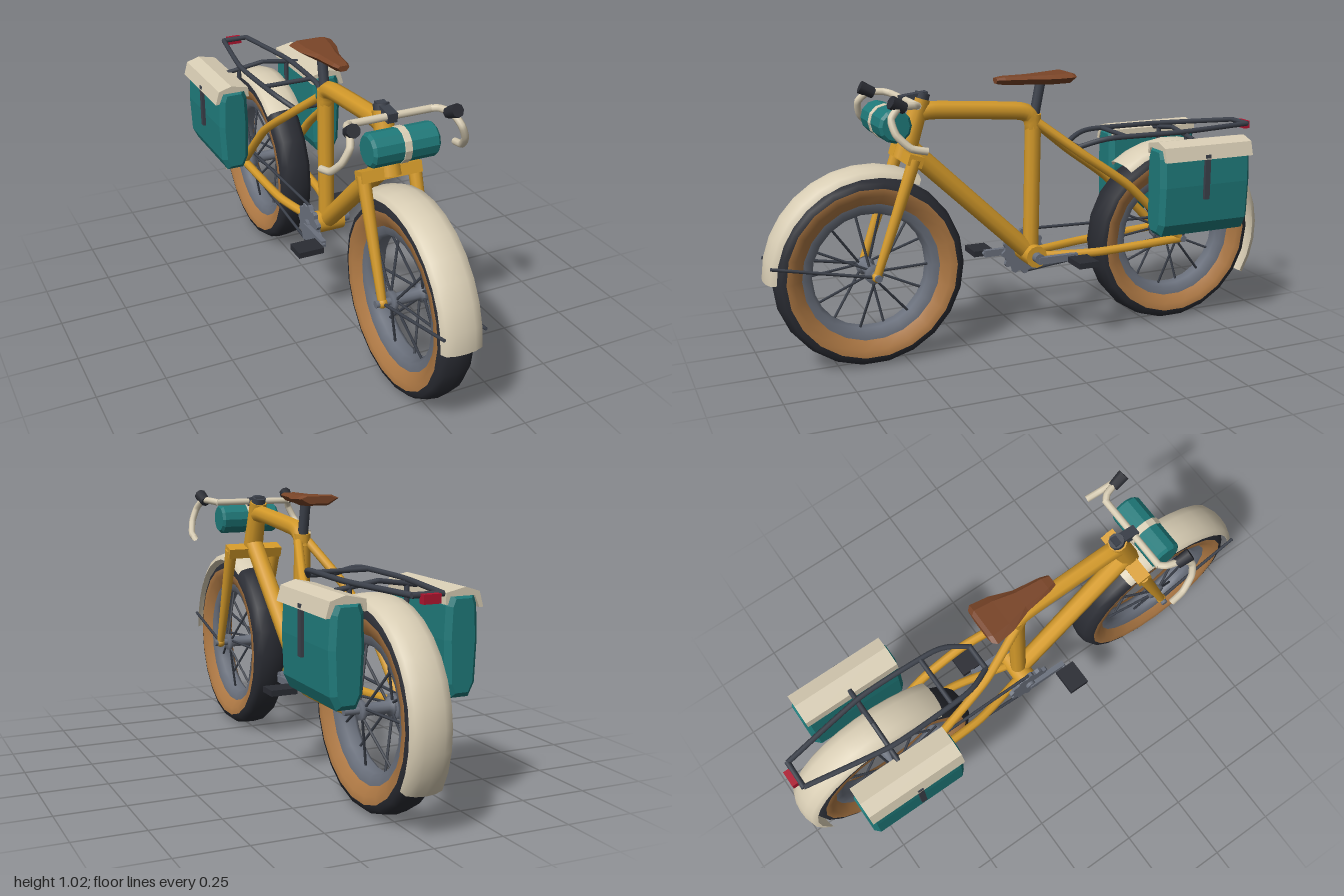
import * as THREE from 'three';

const mat = (color, side = THREE.FrontSide, flatShading = false) =>
  new THREE.MeshStandardMaterial({ color, side, flatShading });
const D = THREE.DoubleSide;
const M = {
  frame: mat(0xd49a2a), teal: mat(0x1f7a7a), tealFlat: mat(0x1f7a7a, D, true),
  cream: mat(0xd8cdb4, D), creamFlat: mat(0xd8cdb4, D, true), leather: mat(0x7a4528, D, true),
  rubber: mat(0x2a2c33, D), dark: mat(0x3c414b), metal: mat(0x6b717d, D), tan: mat(0xb07a45, D), red: mat(0xb01530),
};
const V = (a) => new THREE.Vector3(...a);

export function createModel() {
  const root = new THREE.Group();
  const add = (name, geo, material, parent = root) => {
    const m = new THREE.Mesh(geo, material);
    m.name = name;
    parent.add(m);
    return m;
  };
  // straight, optionally tapered tube between two points
  const rod = (name, a, b, r0, r1, material, parent = root, sides = 10) => {
    const p = V(a), q = V(b), d = q.clone().sub(p);
    const m = add(name, new THREE.CylinderGeometry(r1, r0, d.length(), sides), material, parent);
    m.position.copy(p).add(q).multiplyScalar(0.5);
    m.quaternion.setFromUnitVectors(new THREE.Vector3(0, 1, 0), d.normalize());
    return m;
  };
  const box = (name, size, pos, material, rx = 0) => {
    const m = add(name, new THREE.BoxGeometry(...size), material);
    m.position.set(...pos);
    m.rotation.x = rx;
    return m;
  };
  const ball = (name, pos, r, material) =>
    add(name, new THREE.SphereGeometry(r, 12, 8), material).position.set(...pos);
  const tube = (name, pts, r, material, n = 28) =>
    add(name, new THREE.TubeGeometry(new THREE.CatmullRomCurve3(pts.map(V), false, 'catmullrom', 0.3), n, r, 8), material);
  // surface turned about the x axis; profile is [radius, x], angles run from the front upwards
  const turned = (profile, seg = 22, from = 0, sweep = Math.PI * 2) =>
    new THREE.LatheGeometry(profile.map(([r, x]) => new THREE.Vector2(r, x)), seg, from, sweep).rotateZ(Math.PI / 2);
  const both = (fn) => [1, -1].forEach(fn);

  // wheels
  const wheel = (name, z) => {
    const g = new THREE.Group();
    g.name = name;
    g.position.set(0, 0.35, z);
    root.add(g);
    add('tyre', turned([[0.305, -0.064], [0.33, -0.06], [0.344, -0.04], [0.35, 0], [0.344, 0.04], [0.33, 0.06], [0.305, 0.064]]), M.rubber, g);
    both((s) => add('sidewall', turned([[0.312, s * 0.065], [0.285, s * 0.063], [0.25, s * 0.038]]), M.tan, g));
    add('rim', turned([[0.255, -0.04], [0.225, -0.036], [0.213, -0.02], [0.213, 0.02], [0.225, 0.036], [0.255, 0.04]]), M.metal, g);
    add('hub', turned([[0, -0.065], [0.034, -0.065], [0.034, -0.05], [0.022, -0.04], [0.022, 0.04], [0.034, 0.05], [0.034, 0.065], [0, 0.065]], 12), M.metal, g);
    rod('axle', [-0.12, 0, 0], [0.12, 0, 0], 0.013, 0.013, M.metal, g);
    for (let i = 0; i < 14; i++) {
      const a = (i / 14) * Math.PI * 2, b = a + (i % 4 < 2 ? 0.3 : -0.3), s = i % 2 ? 1 : -1;
      rod('spoke', [s * 0.052, Math.sin(b) * 0.03, Math.cos(b) * 0.03],
        [s * 0.01, Math.sin(a) * 0.222, Math.cos(a) * 0.222], 0.005, 0.005, M.dark, g, 5);
    }
    return g;
  };
  wheel('frontWheel', 0.62);
  const rear = wheel('rearWheel', -0.615);
  add('sprocket', turned([[0, -0.012], [0.045, -0.012], [0.045, 0.012], [0, 0.012]], 12), M.metal, rear).position.x = -0.07;

  // mudguards
  const guard = [[0.352, -0.075], [0.372, -0.065], [0.382, -0.035], [0.385, 0], [0.382, 0.035], [0.372, 0.065], [0.352, 0.075]];
  const deg = Math.PI / 180;
  add('frontMudguard', turned(guard, 10, 1 * deg, 117 * deg), M.cream).position.set(0, 0.35, 0.615);
  add('rearMudguard', turned(guard, 14, 52 * deg, 159 * deg), M.cream).position.set(0, 0.35, -0.615);

  // frame
  const BB = [0, 0.335, -0.01];
  rod('headTube', [0, 0.745, 0.482], [0, 0.955, 0.412], 0.04, 0.034, M.frame);
  tube('topTube', [[0, 0.905, 0.42], [0, 0.91, 0.36], [0, 0.885, 0.04], [0, 0.86, -0.01], [0, 0.82, -0.02]], 0.033, M.frame);
  rod('seatTube', BB, [0, 0.87, -0.02], 0.03, 0.031, M.frame);
  rod('downTube', BB, [0, 0.78, 0.46], 0.034, 0.036, M.frame);
  rod('bottomBracket', [-0.06, ...BB.slice(1)], [0.06, ...BB.slice(1)], 0.042, 0.042, M.frame, root, 12);
  rod('crankAxle', [-0.09, ...BB.slice(1)], [0.09, ...BB.slice(1)], 0.02, 0.02, M.metal);
  box('forkCrown', [0.225, 0.04, 0.055], [0, 0.755, 0.472], M.frame, -0.32);
  both((s) => {
    rod('forkLeg', [s * 0.096, 0.76, 0.472], [s * 0.094, 0.345, 0.622], 0.024, 0.015, M.frame);
    ball('forkEnd', [s * 0.094, 0.35, 0.62], 0.019, M.frame);
    tube('seatStay', [[s * 0.02, 0.84, -0.03], [s * 0.075, 0.71, -0.2], [s * 0.098, 0.58, -0.38], [s * 0.1, 0.35, -0.61]], 0.017, M.frame);
    tube('chainStay', [[s * 0.03, 0.33, -0.02], [s * 0.085, 0.333, -0.26], [s * 0.1, 0.35, -0.61]], 0.017, M.frame);
    rod('mudguardStay', [s * 0.092, 0.35, 0.63], [s * 0.075, 0.42, 0.985], 0.006, 0.006, M.dark, root, 6);
  });

  // drivetrain
  const gear = new THREE.Shape();
  for (let i = 0; i < 48; i++) {
    const a = (i / 48) * Math.PI * 2, r = i % 4 < 2 ? 0.09 : 0.078;
    gear[i ? 'lineTo' : 'moveTo'](Math.cos(a) * r, Math.sin(a) * r);
  }
  const ring = add('chainring', new THREE.ExtrudeGeometry(gear, { depth: 0.016, bevelEnabled: false }).rotateY(Math.PI / 2), M.metal);
  ring.position.set(-0.078, 0.325, -0.01);
  both((s) => {
    rod('chainRun', [-0.07, 0.327 + s * 0.085, -0.01], [-0.07, 0.35 + s * 0.045, -0.615], 0.006, 0.006, M.dark, root, 6);
    const z = -0.01 - s * 0.15;
    box('crank', [0.02, 0.026, 0.16], [s * 0.085, 0.328, -0.01 - s * 0.075], M.metal);
    rod('pedalAxle', [s * 0.08, 0.326, z], [s * 0.12, 0.326, z], 0.009, 0.009, M.metal);
    box('pedal', [0.1, 0.022, 0.08], [s * 0.15, 0.324, z], M.rubber);
  });

  // saddle lofted from cross-sections: [z, half width, top, bottom]
  const rows = [[0.13, 0.022, 1.01, 0.99], [0.1, 0.032, 1.014, 0.985], [0.0, 0.046, 1.014, 0.982],
    [-0.08, 0.075, 1.016, 0.98], [-0.15, 0.085, 1.02, 0.982], [-0.165, 0.07, 1.016, 0.99]];
  const pos = [], idx = [];
  rows.forEach(([z, w, t, b]) => {
    const m = (t * 2 + b) / 3;
    [[-w, m], [-w * 0.65, t], [w * 0.65, t], [w, m], [w * 0.5, b], [-w * 0.5, b]].forEach(([x, y]) => pos.push(x, y, z));
  });
  for (let r = 0; r < rows.length - 1; r++) {
    for (let i = 0; i < 6; i++) {
      const a = r * 6 + i, b = r * 6 + ((i + 1) % 6);
      idx.push(a, b, a + 6, b, b + 6, a + 6);
    }
  }
  const last = (rows.length - 1) * 6;
  for (let i = 1; i < 5; i++) idx.push(0, i + 1, i, last, last + i, last + i + 1);
  const saddle = new THREE.BufferGeometry();
  saddle.setAttribute('position', new THREE.Float32BufferAttribute(pos, 3));
  saddle.setIndex(idx);
  saddle.computeVertexNormals();
  add('saddle', saddle, M.leather);
  rod('seatPost', [0, 0.84, -0.02], [0, 0.99, -0.05], 0.019, 0.019, M.dark);

  // stem, drop handlebar and lever hoods
  rod('steererCap', [0, 0.945, 0.415], [0, 0.975, 0.405], 0.028, 0.028, M.dark);
  box('stem', [0.036, 0.034, 0.1], [0, 0.958, 0.44], M.dark, 0.12);
  rod('handlebar', [-0.155, 0.955, 0.475], [0.155, 0.955, 0.475], 0.013, 0.013, M.cream);
  both((s) => {
    tube('handlebarDrop', [[s * 0.15, 0.955, 0.475], [s * 0.17, 0.96, 0.495], [s * 0.187, 0.96, 0.55], [s * 0.203, 0.925, 0.585],
      [s * 0.225, 0.875, 0.575], [s * 0.243, 0.83, 0.53], [s * 0.25, 0.817, 0.475]], 0.013, M.cream);
    rod('brakeHood', [s * 0.182, 0.955, 0.53], [s * 0.188, 0.98, 0.58], 0.02, 0.024, M.rubber, root, 8);
  });

  // handlebar roll with strap
  const roll = (r, h, c) => turned([[0, -h], [r - c, -h], [r, -h + c], [r, h - c], [r - c, h], [0, h]], 12);
  add('handlebarRoll', roll(0.059, 0.122, 0.01), M.tealFlat).position.set(0, 0.883, 0.543);
  add('rollStrap', roll(0.062, 0.013, 0.001), M.creamFlat).position.set(0, 0.883, 0.543);

  // rear rack and tail light
  both((s) => {
    tube('rackRail', [[s * 0.05, 0.74, -0.185], [s * 0.085, 0.765, -0.25], [s * 0.1, 0.775, -0.32],
      [s * 0.105, 0.775, -0.6], [s * 0.052, 0.775, -0.93]], 0.01, M.dark);
    rod('rackStrut', [s * 0.105, 0.77, -0.62], [s * 0.105, 0.36, -0.615], 0.009, 0.009, M.dark);
    rod('rackHook', [0, 0.775, -0.62], [s * 0.155, 0.752, -0.62], 0.009, 0.009, M.dark);
  });
  rod('rackFrontBar', [-0.055, 0.74, -0.185], [0.055, 0.74, -0.185], 0.01, 0.01, M.dark);
  rod('rackMiddleBar', [-0.1, 0.775, -0.36], [0.1, 0.775, -0.36], 0.009, 0.009, M.dark);
  rod('rackRearBar', [-0.055, 0.775, -0.93], [0.055, 0.775, -0.93], 0.01, 0.01, M.dark);
  box('tailLight', [0.06, 0.03, 0.025], [0, 0.765, -0.948], M.red);

  // panniers
  const prism = (pts, s, z0, z1, bevel) => {
    const shape = new THREE.Shape(pts.map(([x, y]) => new THREE.Vector2(s * x, y)));
    const geo = new THREE.ExtrudeGeometry(shape, {
      depth: z1 - z0 - 2 * bevel, bevelEnabled: bevel > 0, bevelSize: bevel, bevelOffset: -bevel, bevelThickness: bevel, bevelSegments: 1 });
    return geo.translate(0, 0, z0 + bevel);
  };
  both((s) => {
    add('pannier', prism([[0.168, 0.41], [0.235, 0.41], [0.257, 0.455], [0.263, 0.6], [0.257, 0.71], [0.243, 0.75],
      [0.16, 0.75], [0.145, 0.71], [0.141, 0.6], [0.147, 0.455]], s, -0.815, -0.425, 0.018), M.tealFlat);
    add('pannierLid', prism([[0.138, 0.715], [0.14, 0.753], [0.21, 0.768], [0.262, 0.752], [0.277, 0.7], [0.262, 0.7],
      [0.245, 0.74], [0.155, 0.74], [0.147, 0.715]], s, -0.808, -0.432, 0), M.creamFlat);
    box('pannierStrap', [0.012, 0.17, 0.022], [s * 0.27, 0.632, -0.612], M.dark);
  });
  return root;
}
